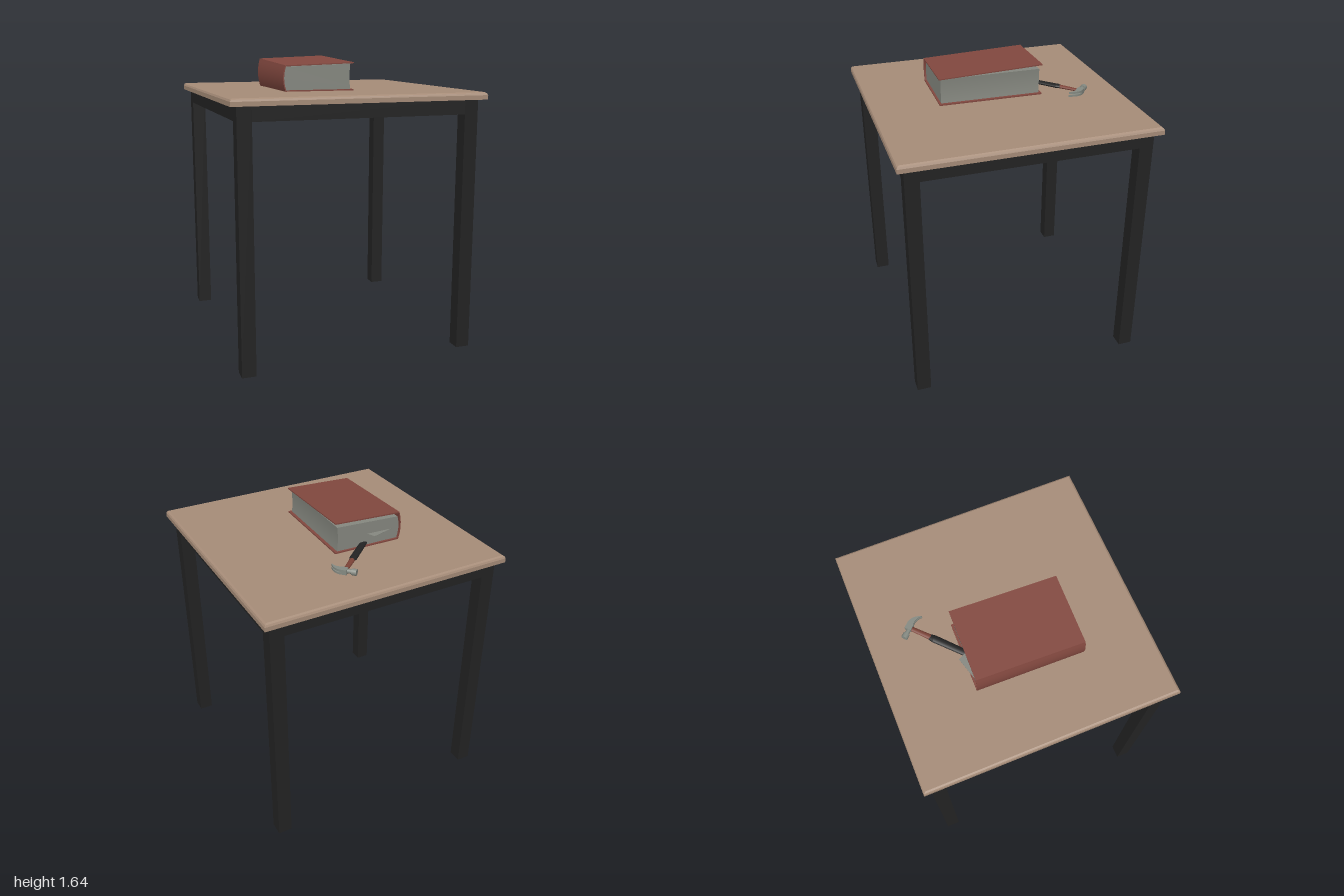
import * as THREE from 'three';
import { toCreasedNormals } from 'three/addons/utils/BufferGeometryUtils.js';

const mat = (name, color, side = THREE.FrontSide) => {
  const m = new THREE.MeshStandardMaterial({ color, side });
  m.name = name;
  return m;
};

export function createModel() {
  const wood = mat('wood', 0xa68c78);
  const black = mat('blackMetal', 0x232323);
  const red = mat('redCover', 0x82483f);
  const paper = mat('paper', 0x868880, THREE.DoubleSide);
  const steel = mat('steel', 0x858a82);
  const handleRed = mat('handleRed', 0x7c4337);

  const root = new THREE.Group();
  const group = (name, parent = root) => {
    const g = new THREE.Group();
    g.name = name;
    parent.add(g);
    return g;
  };
  const add = (parent, name, geo, material, x = 0, y = 0, z = 0) => {
    const m = new THREE.Mesh(geo, material);
    m.name = name;
    m.position.set(x, y, z);
    parent.add(m);
    return m;
  };

  // Table, turned about the vertical axis
  const table = group('table');
  table.rotation.y = -0.74;

  // Top board with a softened upper edge
  const board = new THREE.BoxGeometry(1.414, 0.04, 1.414, 1, 3, 1);
  const bp = board.attributes.position;
  const levels = [[-0.02, 0], [0.004, 0], [0.014, 0.005], [0.02, 0.014]];
  for (let i = 0; i < bp.count; i++) {
    const [y, inset] = levels[Math.round((bp.getY(i) + 0.02) / 0.04 * 3)];
    const s = 1 - inset / 0.707;
    bp.setXYZ(i, bp.getX(i) * s, y, bp.getZ(i) * s);
  }
  add(table, 'tableTop', toCreasedNormals(board, 0.3), wood, 0, 1.441, 0);

  // Square legs and the rails between them
  const c = 0.63, t = 0.078;
  for (const sx of [-1, 1]) {
    for (const sz of [-1, 1])
      add(table, 'leg', new THREE.BoxGeometry(t, 1.421, t), black, sx * c, 0.7105, sz * c);
    add(table, 'sideRail', new THREE.BoxGeometry(t, 0.08, 2 * c - t), black, sx * c, 1.381, 0);
    add(table, 'crossRail', new THREE.BoxGeometry(2 * c - t, 0.08, t), black, 0, 1.381, sx * c);
  }

  // Book: local x runs along the spine, which lies on the +z side
  const book = group('book');
  book.position.set(-0.0575, 1.461, 0.1125);
  book.rotation.y = -0.76;
  const extrudeAlongX = (shape, length) => {
    const g = new THREE.ExtrudeGeometry(shape, { depth: length, bevelEnabled: false, curveSegments: 8 });
    g.translate(0, 0, -length / 2);
    return g.rotateY(Math.PI / 2);
  };

  // Wrap-around cover; the upper board lifts towards one end
  const wrap = new THREE.Shape();
  wrap.moveTo(0.203, 0);
  wrap.lineTo(0.203, 0.007);
  wrap.lineTo(-0.186, 0.007);
  wrap.quadraticCurveTo(-0.208, 0.075, -0.186, 0.146);
  wrap.lineTo(0.203, 0.161);
  wrap.lineTo(0.203, 0.167);
  wrap.lineTo(-0.190, 0.153);
  wrap.quadraticCurveTo(-0.216, 0.075, -0.190, 0);
  const cover = extrudeAlongX(wrap, 0.594);
  const cp = cover.attributes.position;
  for (let i = 0; i < cp.count; i++)
    cp.setY(i, cp.getY(i) - cp.getX(i) * 0.042 * Math.max(0, cp.getY(i) - 0.007) / 0.16);
  add(book, 'bookCover', toCreasedNormals(cover, 0.5), red);

  // Page block with a gently hollow fore edge
  const leaf = new THREE.Shape();
  leaf.moveTo(-0.187, 0.007);
  leaf.lineTo(0.186, 0.007);
  leaf.quadraticCurveTo(0.178, 0.075, 0.186, 0.147);
  leaf.lineTo(-0.186, 0.133);
  leaf.quadraticCurveTo(-0.207, 0.075, -0.187, 0.007);
  add(book, 'pages', toCreasedNormals(extrudeAlongX(leaf, 0.57), 0.5), paper);

  // Loose sheet corner poking out of the end of the page block
  const slip = new THREE.Shape([[-0.37, -0.02], [-0.265, 0.085], [-0.31, 0.1]]
    .map(([x, y]) => new THREE.Vector2(x, y)));
  const sheet = new THREE.ExtrudeGeometry(slip, { depth: 0.002, bevelEnabled: false });
  add(root, 'looseSheet', sheet.rotateX(-Math.PI / 2), paper, 0, 1.53, 0);

  // Hammer lying flat, its grip running to the book
  const hammer = group('hammer');
  hammer.position.set(-0.247, 1.48, 0);
  const rod = (name, r0, r1, z0, z1, flat, material) => {
    const g = new THREE.CylinderGeometry(r1, r0, z1 - z0, 16);
    g.rotateX(Math.PI / 2).scale(1, flat, 1);
    return add(hammer, name, g, material, 0, 0, (z0 + z1) / 2);
  };
  rod('handle', 0.012, 0.016, -0.435, -0.29, 0.6, handleRed);
  rod('gripNeck', 0.016, 0.021, -0.305, -0.28, 0.55, black);
  rod('grip', 0.021, 0.019, -0.28, -0.09, 0.5, black);

  // Head: central block, neck, striking face
  add(hammer, 'headBlock', new THREE.BoxGeometry(0.036, 0.028, 0.036), steel, 0.004, 0, -0.428);
  for (const [name, r, x, len] of [['headNeck', 0.012, -0.026, 0.032], ['strikingFace', 0.018, -0.05, 0.026]])
    add(hammer, name, new THREE.CylinderGeometry(r, r, len, 16).rotateZ(Math.PI / 2), steel, x, 0, -0.423);

  // Two curved claw prongs
  const claw = new THREE.Shape();
  claw.moveTo(0.015, 0.447);
  claw.quadraticCurveTo(0.06, 0.445, 0.084, 0.394);
  claw.quadraticCurveTo(0.055, 0.422, 0.015, 0.412);
  for (const y of [-0.014, 0.003]) {
    const g = new THREE.ExtrudeGeometry(claw, { depth: 0.011, bevelEnabled: false, curveSegments: 8 });
    add(hammer, 'claw', toCreasedNormals(g.rotateX(-Math.PI / 2), 0.6), steel, 0, y, 0);
  }
  return root;
}
